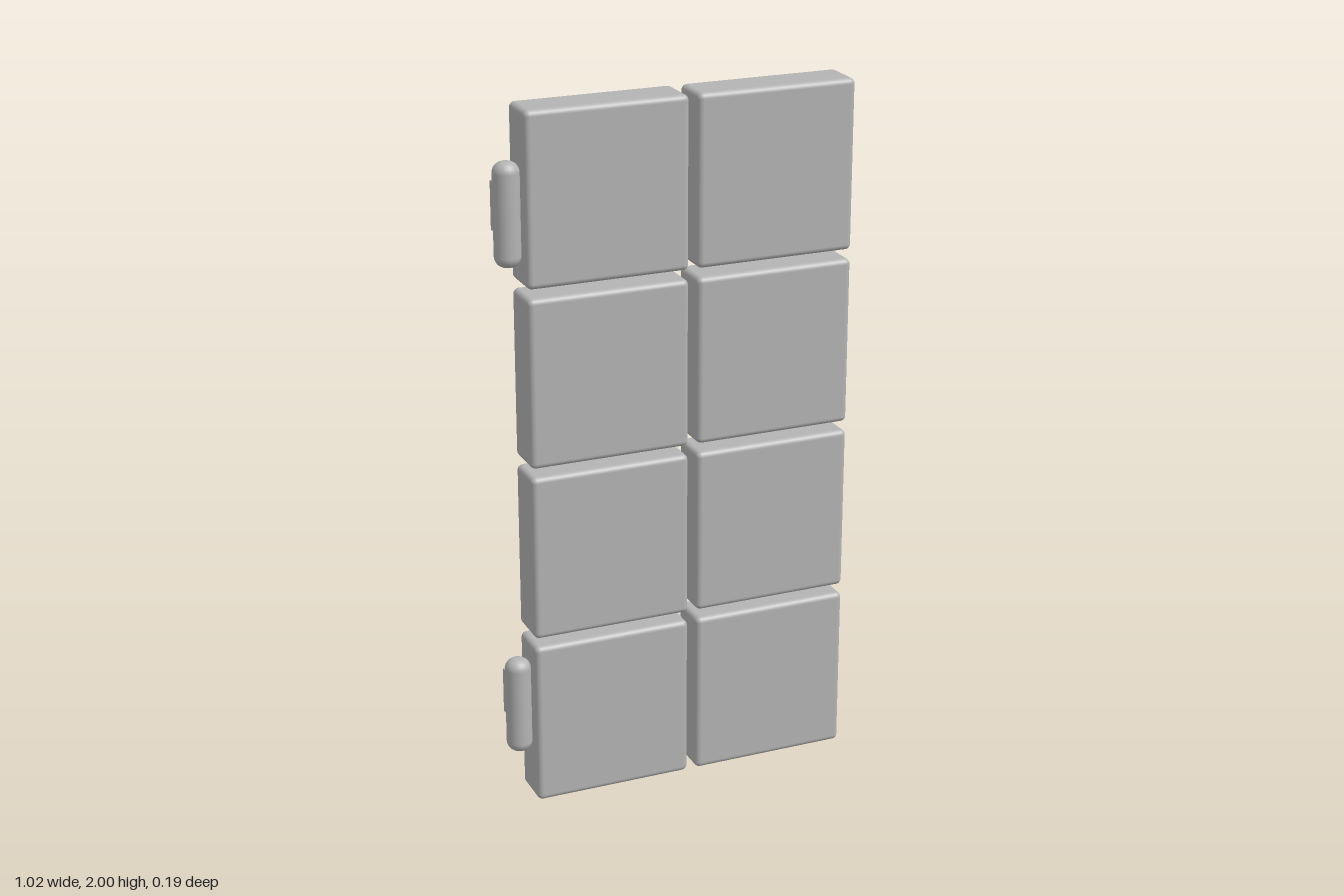
import * as THREE from 'three';
import { RoundedBoxGeometry } from 'three/addons/geometries/RoundedBoxGeometry.js';

const steel = new THREE.MeshStandardMaterial({ color: 0xb4b4b4 });
steel.name = 'grey steel';

function add(parent, name, geometry, x = 0, y = 0, z = 0) {
  const mesh = new THREE.Mesh(geometry, steel);
  mesh.name = name;
  mesh.position.set(x, y, z);
  parent.add(mesh);
  return mesh;
}

// Flat hinge arm with slanted ends, lying against the back of the door
function strapGeometry(height) {
  const outline = new THREE.Shape([
    [-0.468, 0.036], [-0.09, 0.036], [-0.096, 0.045], [-0.1, 0.07],
    [-0.478, 0.07], [-0.484, 0.065], [-0.482, 0.048],
  ].map(([x, y]) => new THREE.Vector2(x, y)));
  const geometry = new THREE.ExtrudeGeometry(outline, { depth: height, bevelEnabled: false });
  geometry.rotateX(-Math.PI / 2);
  geometry.translate(0, -height / 2, 0);
  return geometry;
}

// Upright hinge barrel with rounded ends
function barrelGeometry(radius, height) {
  const round = 0.03, h = height / 2;
  const profile = [new THREE.Vector2(0, -h)];
  for (const side of [-1, 1]) {
    for (let i = 0; i <= 6; i++) {
      const a = (side < 0 ? i - 6 : i) / 6 * Math.PI / 2;
      profile.push(new THREE.Vector2(
        radius - round + round * Math.cos(a), side * (h - round) + round * Math.sin(a)));
    }
  }
  profile.push(new THREE.Vector2(0, h));
  return new THREE.LatheGeometry(profile, 24);
}

// Hand wheel: rim, six spokes and a small hub
function createWheel() {
  const wheel = new THREE.Group();
  wheel.name = 'handWheel';
  add(wheel, 'wheelRim', new THREE.TorusGeometry(0.088, 0.0135, 12, 40));
  for (let i = 0; i < 3; i++) {
    const spoke = add(wheel, 'wheelSpoke', new THREE.CylinderGeometry(0.008, 0.008, 0.176, 10));
    spoke.rotation.z = Math.PI / 2 + i * Math.PI / 3;
  }
  const hub = add(wheel, 'wheelHub', new THREE.CylinderGeometry(0.016, 0.016, 0.022, 16));
  hub.rotation.x = Math.PI / 2;
  return wheel;
}

export function createModel() {
  const door = new THREE.Group();
  door.name = 'armouredDoor';

  // Eight separate panels in two columns, each with rivets around its back
  const panel = new RoundedBoxGeometry(0.46, 0.48, 0.13, 4, 0.016);
  const rivet = new THREE.SphereGeometry(0.0205, 16, 12);
  for (const x of [-0.209, 0.276]) {
    for (let row = 0; row < 4; row++) {
      const y = 0.242 + row * 0.5058;
      add(door, 'panel', panel, x, y, 0.025);
      for (let i = -1; i <= 1; i++) {
        for (let j = -1; j <= 1; j++) {
          if (i || j) add(door, 'rivet', rivet, x + i * 0.185, y + j * 0.195, -0.05);
        }
      }
    }
  }

  // Upper and lower hinges
  const strap = strapGeometry(0.135);
  const barrel = barrelGeometry(0.0365, 0.285);
  for (const y of [0.292, 1.717]) {
    add(door, 'hingeStrap', strap, 0, y, 0);
    add(door, 'hingeBarrel', barrel, -0.473, y, 0.033);
  }

  // Locking wheel on the back
  const wheel = createWheel();
  wheel.position.set(0.345, 1.005, -0.085);
  door.add(wheel);

  return door;
}
